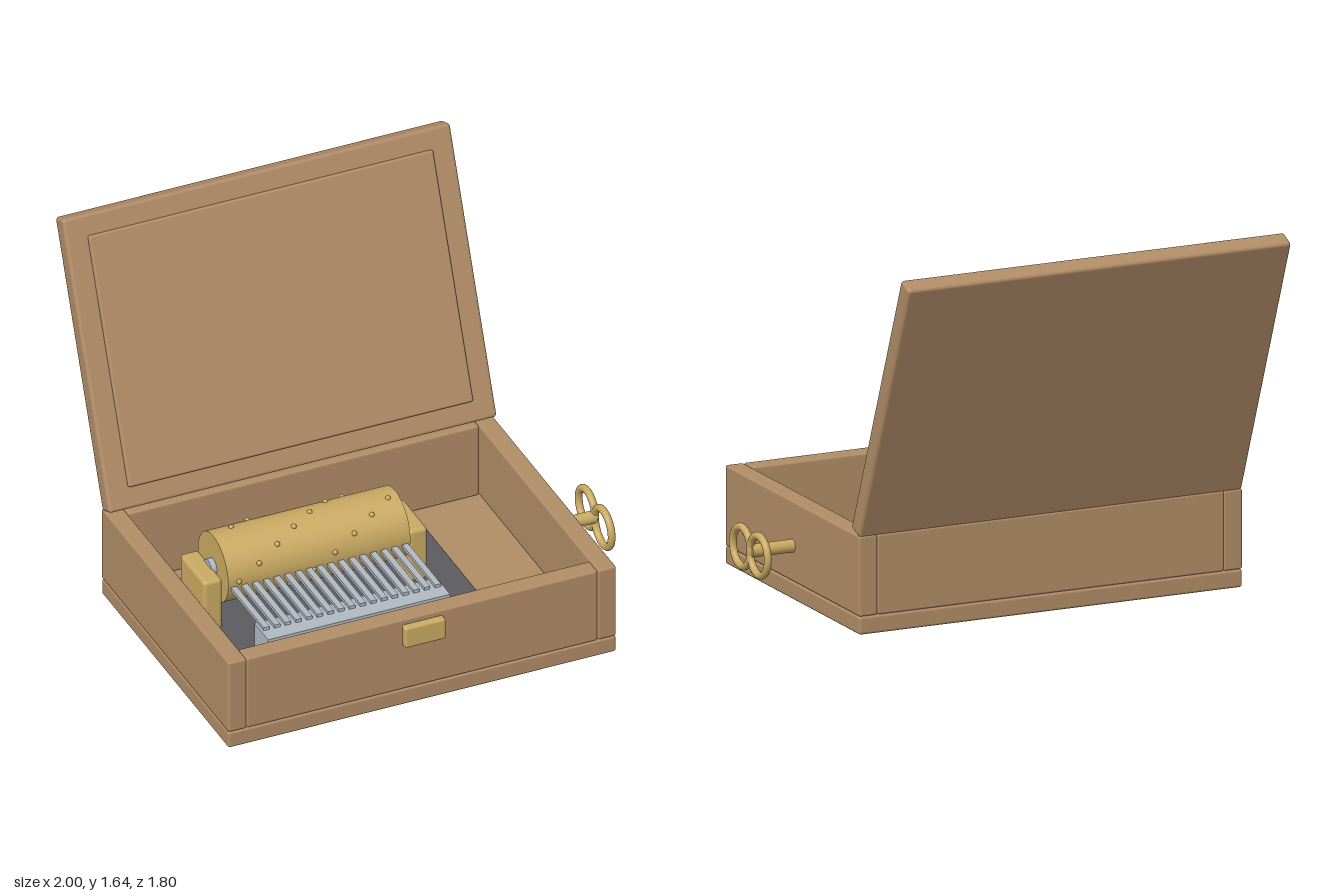
import * as THREE from 'three';
import { RoundedBoxGeometry } from 'three/addons/geometries/RoundedBoxGeometry.js';

const material = (name, color) => {
  const m = new THREE.MeshStandardMaterial({ color });
  m.name = name;
  return m;
};

export function createModel() {
  const model = new THREE.Group();
  model.name = 'musicBox';
  const wood = material('wood', 0xb08c66);
  const brass = material('brass', 0xc9a962);
  const iron = material('darkIron', 0x5a5a60);
  const steel = material('steel', 0xb0b8c2);

  const add = (name, geometry, mat, parent = model) => {
    const mesh = new THREE.Mesh(geometry, mat);
    mesh.name = name;
    parent.add(mesh);
    return mesh;
  };
  // Rounded block given by its limits on each axis
  const block = (name, mat, [x0, x1], [y0, y1], [z0, z1], r = 0.01, parent = model) => {
    const mesh = add(name, new RoundedBoxGeometry(x1 - x0, y1 - y0, z1 - z0, 2, r), mat, parent);
    mesh.position.set((x0 + x1) / 2, (y0 + y1) / 2, (z0 + z1) / 2);
    return mesh;
  };
  // Cylinder lying along x
  const rod = (name, mat, radius, x0, x1, y, z, sides = 48) => {
    const geometry = new THREE.CylinderGeometry(radius, radius, x1 - x0, sides).rotateZ(Math.PI / 2);
    const mesh = add(name, geometry, mat);
    mesh.position.set((x0 + x1) / 2, y, z);
    return mesh;
  };

  // Wooden case
  block('base', wood, [-1, 0.79], [0, 0.079], [-0.43, 0.865], 0.012);
  block('rightWall', wood, [-1, -0.915], [0.079, 0.43], [-0.43, 0.865]);
  block('leftWall', wood, [0.705, 0.79], [0.079, 0.43], [-0.43, 0.865]);
  block('frontWall', wood, [-0.915, 0.705], [0.079, 0.43], [0.78, 0.865]);
  block('backWall', wood, [-0.915, 0.705], [0.079, 0.43], [-0.43, -0.345]);
  block('clasp', brass, [-0.2, -0.01], [0.303, 0.406], [0.86, 0.9], 0.012);

  // Open lid with raised inner panel
  const lid = new THREE.Group();
  lid.name = 'lid';
  lid.position.set(-0.105, 1.032, -0.6255);
  lid.rotation.x = THREE.MathUtils.degToRad(-22);
  model.add(lid);
  block('lidBoard', wood, [-0.895, 0.895], [-0.643, 0.643], [-0.042, 0.042], 0.015, lid);
  block('lidPanel', wood, [-0.795, 0.795], [-0.55, 0.55], [0.02, 0.058], 0.01, lid);

  // Mechanism bed and bearings
  block('bedPlate', iron, [-0.885, 0.37], [0.075, 0.13], [-0.225, 0.65]);
  block('bearing', brass, [-0.812, -0.725], [0.12, 0.38], [-0.05, 0.2], 0.018);
  block('bearing', brass, [0.135, 0.222], [0.12, 0.38], [-0.05, 0.2], 0.018);

  // Drum with two pins on each ring, stepping round the surface
  const drumY = 0.365, drumZ = 0.08, drumR = 0.155;
  rod('axle', steel, 0.04, -0.74, 0.15, drumY, drumZ, 24);
  rod('drum', brass, drumR, -0.715, 0.125, drumY, drumZ, 64);
  const pinGeometry = new THREE.SphereGeometry(0.012, 10, 8);
  for (let i = 1; i <= 16; i++) {
    for (const half of [0, Math.PI]) {
      const a = THREE.MathUtils.degToRad((i - 9) * 79) + half;
      add('drumPin', pinGeometry, brass).position.set(
        -0.715 + i * 0.0494, drumY + Math.cos(a) * drumR, drumZ + Math.sin(a) * drumR);
    }
  }

  // Comb
  const comb = add('combBlock', new THREE.BoxGeometry(0.84, 0.21, 0.14), steel);
  comb.position.set(-0.295, 0.23, 0.57);
  const toothGeometry = new THREE.BoxGeometry(0.027, 0.016, 0.335);
  for (let i = 0; i < 17; i++) {
    add('combTooth', toothGeometry, steel).position.set(-0.69 + i * 0.0494, 0.342, 0.4025);
  }

  // Winding key
  rod('keyShaft', brass, 0.028, 0.78, 0.985, 0.235, 0.215, 24);
  for (const z of [0.137, 0.303]) {
    const ring = add('keyRing', new THREE.TorusGeometry(0.085, 0.0165, 14, 48), brass);
    ring.rotation.y = Math.PI / 2;
    ring.position.set(0.984, 0.233, z);
  }
  return model;
}
